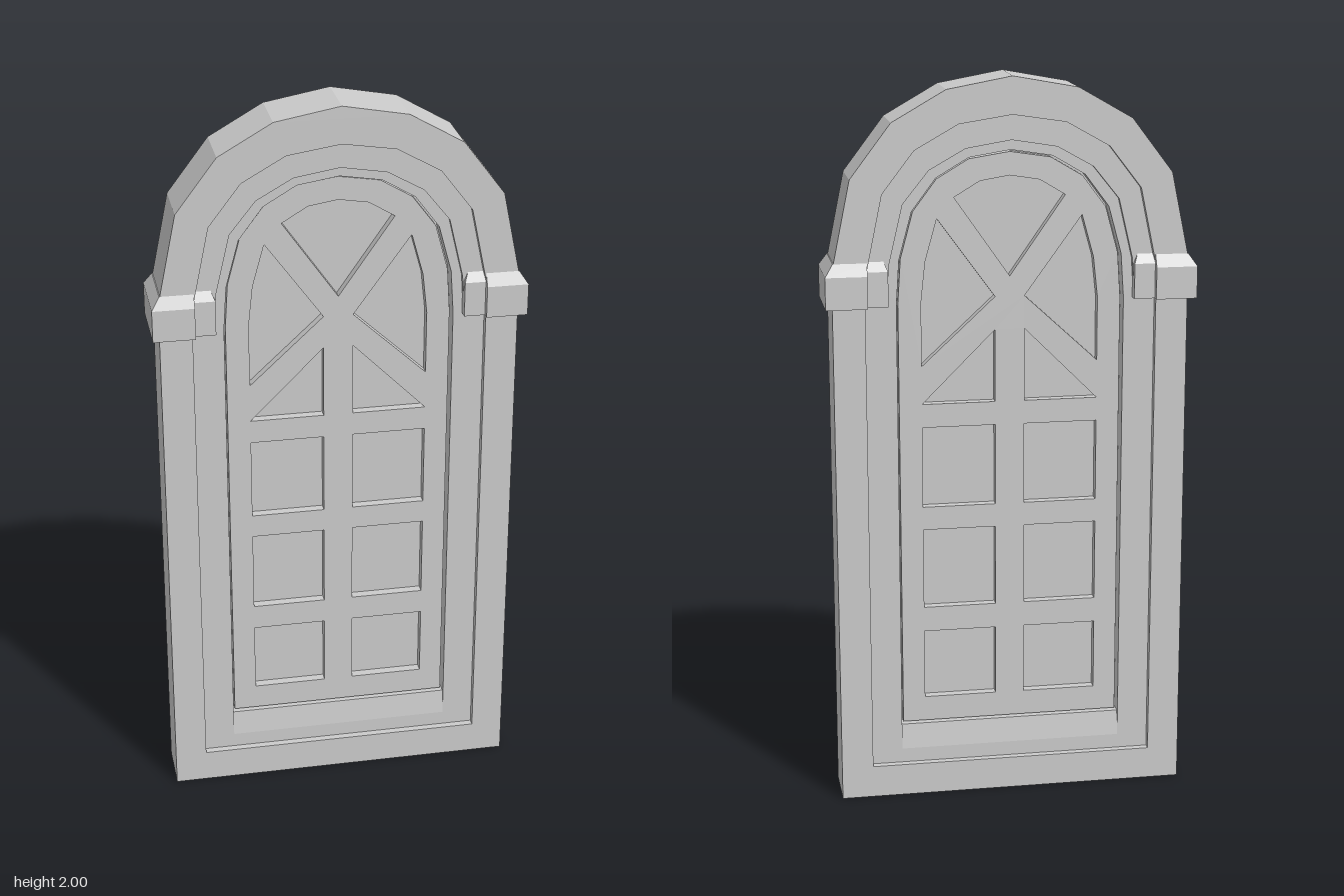
import * as THREE from 'three';

const material = new THREE.MeshStandardMaterial({ color: 0xcccccc, flatShading: true });

// Right half of each outline, from the bottom up to the crown
const OUTER = [[0.48, 1.45], [0.48, 1.5], [0.43, 1.74], [0.32, 1.885], [0.175, 1.968], [0, 2]];
const STEP_A = [[0.392, 1.45], [0.388, 1.5], [0.346, 1.7], [0.26, 1.812], [0.143, 1.878], [0, 1.9]];
const STEP_B = [[0.332, 1.45], [0.328, 1.51], [0.29, 1.67], [0.22, 1.757], [0.122, 1.812], [0, 1.832]];
const OPENING = [[0.308, 1.4], [0.3, 1.52], [0.265, 1.648], [0.2, 1.735], [0.112, 1.787], [0, 1.805]];
const DOOR = [[0.302, 1.4], [0.294, 1.52], [0.26, 1.645], [0.196, 1.73], [0.11, 1.781], [0, 1.798]];

const vec = (p) => new THREE.Vector2(p[0], p[1]);
const flip = (pts) => pts.map(([x, y]) => [-x, y]).reverse();
// Full closed outline from a half that ends on the centre line
const whole = (half) => [...half, ...flip(half).slice(1)];

function addMesh(group, name, geometry) {
  const mesh = new THREE.Mesh(geometry, material);
  mesh.name = name;
  group.add(mesh);
  return mesh;
}

// Slab centred on z = 0, with optional holes
function slab(group, name, outline, halfDepth, holes = []) {
  const shape = new THREE.Shape(outline.map(vec));
  for (const hole of holes) shape.holes.push(new THREE.Path(hole.map(vec)));
  const geometry = new THREE.ExtrudeGeometry(shape, { depth: 2 * halfDepth, bevelEnabled: false });
  geometry.translate(0, 0, -halfDepth);
  return addMesh(group, name, geometry);
}

// Arch band between two half outlines, open at the bottom
function archBand(group, name, outer, inner, halfDepth) {
  slab(group, name, [...whole(outer), ...whole(inner).reverse()], halfDepth);
}

// Block whose top is drawn in to a smaller rectangle
function taperedBlock(x0, x1, y0, y1, z, tx0, tx1, ty, tz) {
  const geometry = new THREE.BoxGeometry(1, 1, 1, 1, 2, 1);
  const p = geometry.attributes.position;
  for (let i = 0; i < p.count; i++) {
    const level = Math.round(p.getY(i) * 2) + 1;
    const top = level === 2;
    const right = p.getX(i) > 0;
    const front = Math.sign(p.getZ(i));
    p.setXYZ(i, right ? (top ? tx1 : x1) : (top ? tx0 : x0), [y0, y1, ty][level], front * (top ? tz : z));
  }
  geometry.computeVertexNormals();
  return geometry;
}

export function createModel() {
  const model = new THREE.Group();
  model.name = 'archedDoor';

  // Posts and bottom rail of the outer frame
  slab(model, 'outerFrame', [
    [-0.48, 0], [0.48, 0], [0.48, 1.45], [0.393, 1.45],
    [0.393, 0.09], [-0.393, 0.09], [-0.393, 1.45], [-0.48, 1.45],
  ], 0.073);

  // Stepped arch
  archBand(model, 'outerArch', OUTER, STEP_A, 0.083);
  archBand(model, 'middleArch', STEP_A, STEP_B, 0.066);

  // Recessed inner frame, closed below by the sill
  slab(model, 'innerFrame', whole([[0.393, 0.09], [0.393, 1.45], ...STEP_B]), 0.053,
    [whole([[0.308, 0.13], ...OPENING])]);

  // Sill sloping in towards the door on both faces
  const sill = new THREE.ExtrudeGeometry(
    new THREE.Shape([[-0.053, 0.13], [0.053, 0.13], [0.044, 0.2], [-0.044, 0.2]].map(vec)),
    { depth: 0.616, bevelEnabled: false });
  sill.translate(0, 0, -0.308).rotateY(Math.PI / 2);
  addMesh(model, 'sill', sill);

  // Window openings in the right half of the door leaf
  const sidePanes = [
    ...[[0.275, 0.47], [0.54, 0.765], [0.83, 1.055]].map(
      ([a, b]) => [[0.04, a], [0.24, a], [0.24, b], [0.04, b]]),
    [[0.04, 1.12], [0.24, 1.12], [0.04, 1.32]],
    [[0.04, 1.41], [0.24, 1.225], [0.24, 1.4], [0.228, 1.51], [0.196, 1.625]],
  ];
  const fan = whole([[0, 1.465], [0.15, 1.68], [0.08, 1.722], [0, 1.735]]).slice(0, -1);
  const panes = [...sidePanes, ...sidePanes.map(flip), fan];

  // Door leaf with a sunken panel showing through the openings
  slab(model, 'doorLeaf', whole([[0.302, 0.205], ...DOOR]), 0.036, panes);
  slab(model, 'sunkenPanel', whole([[0.308, 0.2], ...OPENING]), 0.01);

  // Capitals where the arch meets the posts
  for (const side of [1, -1]) {
    const capital = new THREE.Group();
    capital.name = side > 0 ? 'leftCapital' : 'rightCapital';
    const span = (a, b) => (side > 0 ? [a, b] : [-b, -a]);
    addMesh(capital, 'outerBlock',
      taperedBlock(...span(0.388, 0.5), 1.4, 1.487, 0.1, ...span(0.388, 0.478), 1.52, 0.083));
    addMesh(capital, 'innerBlock',
      taperedBlock(...span(0.332, 0.39), 1.4, 1.495, 0.081, ...span(0.342, 0.39), 1.52, 0.066));
    model.add(capital);
  }
  return model;
}
